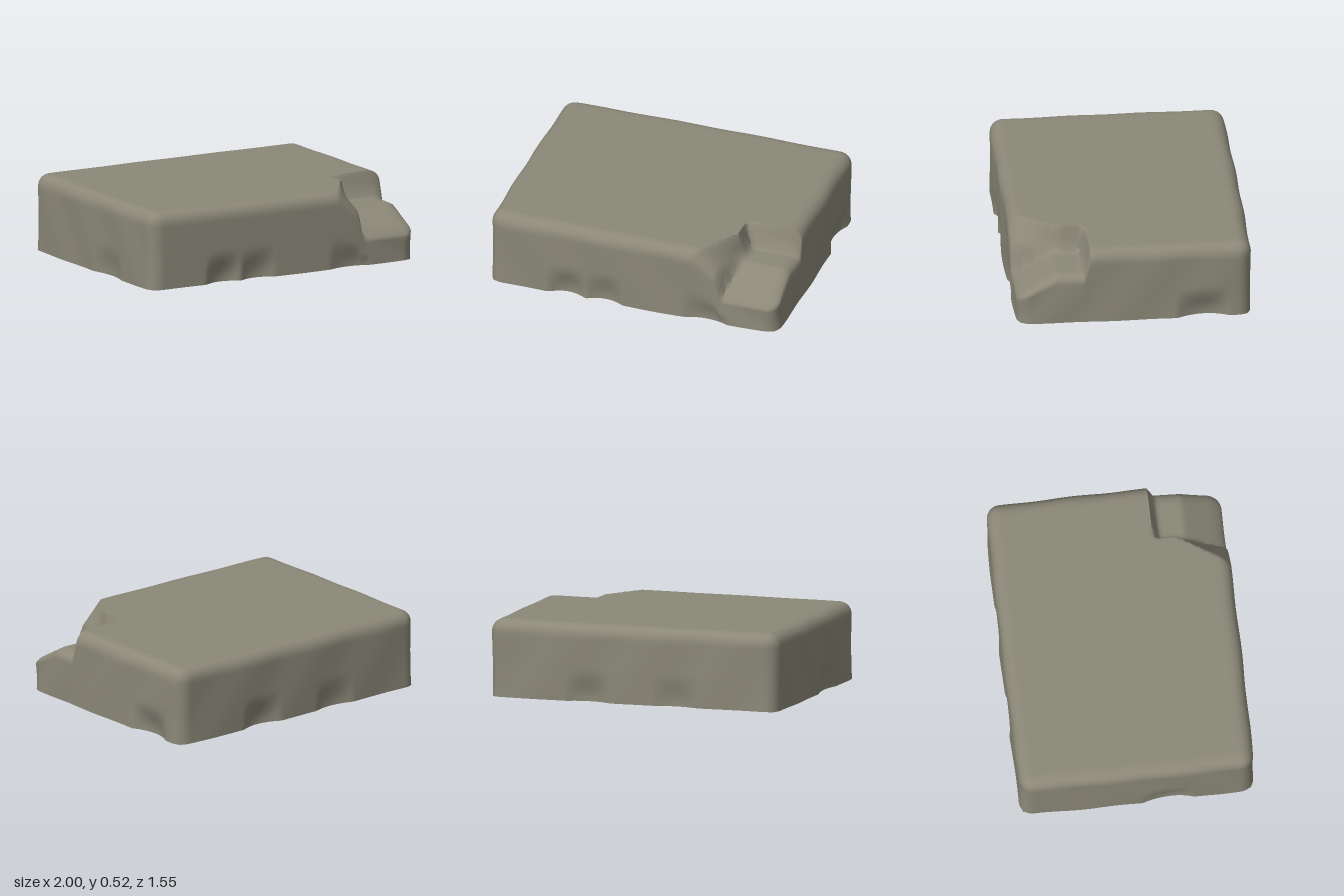
import * as THREE from 'three';
import { mergeVertices, toCreasedNormals } from 'three/addons/utils/BufferGeometryUtils.js';

const { clamp, lerp, smoothstep } = THREE.MathUtils;
const W = 0.985, D = 0.76, TOP = 0.52, R = 0.085;

// Height of the upper surface: flat, with a stepped break at the front left corner
function topHeight(x, z) {
  const shelf = z < 0.5 ? 0.35 : lerp(0.35, 0.2, clamp((z - 0.5) / 0.26, 0, 1));
  const k = clamp((z - 0.44) / 0.31, 0, 1);
  const rim = lerp(0.62, 0.41, k), foot = lerp(0.64, 0.56, k);
  const slope = lerp(TOP, 0.38, clamp((x - rim) / (foot - rim), 0, 1));
  const side = lerp(slope, shelf, smoothstep(x, foot, foot + 0.04));
  const back = lerp(TOP, shelf, smoothstep(z, 0.28 + (1 - x) * 0.05, 0.33));
  return Math.min(TOP, Math.max(shelf, side, back));
}

// Shallow scoop near the base of a side: centre, half width, depth
const scoop = (u, y, c, w, d) =>
  d * Math.max(0, 1 - ((u - c) / w) ** 2) * (1 - smoothstep(y, 0.02, 0.22));

function slabGeometry() {
  const box = new THREE.BoxGeometry(2 * W, TOP, 2 * D, 100, 20, 80);
  box.translate(0, TOP / 2, 0);
  box.deleteAttribute('normal');
  box.deleteAttribute('uv');
  const geo = mergeVertices(box);
  const pos = geo.attributes.position;
  const p = new THREE.Vector3(), core = new THREE.Vector3();
  for (let i = 0; i < pos.count; i++) {
    p.fromBufferAttribute(pos, i);
    // Round the top and upright edges, keep the bottom edge sharp
    core.set(clamp(p.x, R - W, W - R), Math.min(p.y, TOP - R), clamp(p.z, R - D, D - R));
    const off = p.clone().sub(core);
    const onSide = Math.abs(p.x) > W - 1e-4 || Math.abs(p.z) > D - 1e-4;
    if (onSide || p.y > TOP - 1e-4) p.copy(core).add(off.setLength(R));
    const { x, y, z } = p;

    // Break away the corner, and lift the base slightly towards its edges
    p.y = y * topHeight(x, z) / TOP;
    p.y += 0.014 * Math.max((x / W) ** 4, (z / D) ** 4) * (1 - y / TOP);

    // Gentle bulge of the worn sides
    p.x += 0.01 * (x / W) * (1 - (z / D) ** 2);
    p.z += 0.01 * (z / D) * (1 - (x / W) ** 2);
    p.x += 0.003 * (x / W) * Math.sin(z * 13 + y * 9);
    p.z += 0.003 * (z / D) * Math.sin(x * 11 + y * 8);

    // Chips along the foot of the sides
    const front = smoothstep(z, D - 0.08, D), rear = smoothstep(-z, D - 0.08, D);
    const left = smoothstep(x, W - 0.08, W), right = smoothstep(-x, W - 0.08, W);
    p.z -= front * (scoop(x, y, -0.45, 0.13, 0.05) + scoop(x, y, -0.2, 0.13, 0.04)
      + scoop(x, y, 0.5, 0.15, 0.03));
    p.z += rear * (scoop(x, y, 0.3, 0.15, 0.04) + scoop(x, y, -0.3, 0.15, 0.03));
    p.x -= left * scoop(z, y, -0.45, 0.17, 0.05);
    p.x += right * scoop(z, y, 0.2, 0.17, 0.03);
    pos.setXYZ(i, p.x, p.y, p.z);
  }
  return toCreasedNormals(geo, 0.9);
}

export function createModel() {
  const stone = new THREE.MeshStandardMaterial({ color: 0x8b8878 });
  stone.name = 'weatheredStone';
  const slab = new THREE.Mesh(slabGeometry(), stone);
  slab.name = 'stoneSlab';
  const model = new THREE.Group();
  model.name = 'brokenStoneBlock';
  model.add(slab);
  return model;
}
